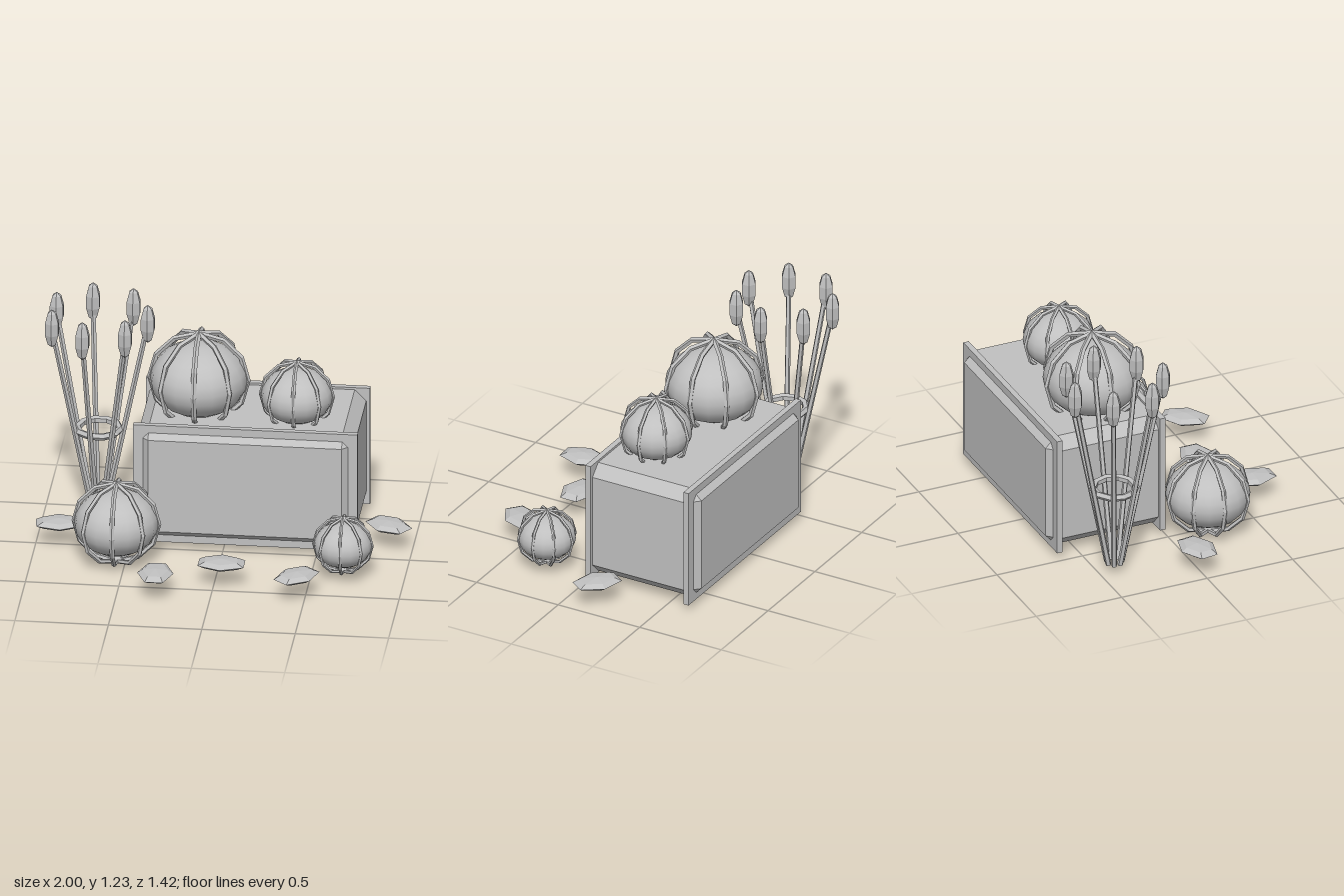
import * as THREE from 'three';
import { ConvexGeometry } from 'three/addons/geometries/ConvexGeometry.js';

const grey = new THREE.MeshStandardMaterial({ color: 0xc0c0c0 });
grey.name = 'plain grey';

// Faceted normals without needing a second material
function faceted(geometry) {
  const g = geometry.index ? geometry.toNonIndexed() : geometry;
  g.computeVertexNormals();
  return g;
}

function part(name, geometry, parent, x = 0, y = 0, z = 0) {
  const mesh = new THREE.Mesh(geometry, grey);
  mesh.name = name;
  mesh.position.set(x, y, z);
  parent.add(mesh);
  return mesh;
}

// Box with every edge cut at 45 degrees
function chamferedBox(w, h, d, c) {
  const points = [];
  for (const sx of [-1, 1]) for (const sy of [-1, 1]) for (const sz of [-1, 1]) {
    for (let axis = 0; axis < 3; axis++) {
      const inset = [c, c, c];
      inset[axis] = 0;
      points.push(new THREE.Vector3(
        sx * (w / 2 - inset[0]), sy * (h / 2 - inset[1]), sz * (d / 2 - inset[2])));
    }
  }
  return faceted(new ConvexGeometry(points));
}

// Flattened smooth ball inside four upright rings that make eight ribs
function pumpkin(name, x, y, z, outer) {
  const group = new THREE.Group();
  group.name = name;
  group.position.set(x, y, z);
  const r = outer * 0.945;
  const body = new THREE.SphereGeometry(r, 16, 12);
  body.scale(1, 0.76, 1);
  part('pumpkinBody', body, group);
  const ring = faceted(new THREE.TorusGeometry(r, outer * 0.055, 5, 12));
  for (let i = 0; i < 4; i++) {
    part('pumpkinRibs', ring, group).rotation.y = i * Math.PI / 4;
  }
  return group;
}

// Tilted straw running from point a to point b
function stalk(a, b, parent) {
  const dir = b.clone().sub(a);
  const mesh = part('stalk', faceted(new THREE.CylinderGeometry(0.014, 0.016, dir.length(), 5)), parent);
  mesh.position.copy(a).add(b).multiplyScalar(0.5);
  mesh.quaternion.setFromUnitVectors(new THREE.Vector3(0, 1, 0), dir.normalize());
}

// Seven stalks fanning out of a tie ring, each with an upright seed head
function grainSheaf() {
  const group = new THREE.Group();
  group.name = 'grainSheaf';
  group.position.set(-0.71, 0, -0.41);
  const head = new THREE.SphereGeometry(1, 6, 5);
  head.rotateY(Math.PI / 6);
  head.scale(0.043, 0.11, 0.043);
  const headGeometry = faceted(head);
  for (let i = 0; i < 7; i++) {
    const a = i / 7 * Math.PI * 2;
    const at = (r, y) => new THREE.Vector3(Math.cos(a) * r, y, Math.sin(a) * r);
    stalk(at(0.04, 0.055), at(0.255, 1.09), group);
    part('seedHead', headGeometry, group, Math.cos(a) * 0.263, 1.13, Math.sin(a) * 0.263);
  }
  const tie = new THREE.TorusGeometry(0.115, 0.02, 5, 10);
  tie.rotateX(Math.PI / 2);
  part('tieRing', faceted(tie), group, 0, 0.507, 0);
  return group;
}

export function createModel() {
  const model = new THREE.Group();
  model.name = 'harvestDisplay';

  // Bale with a band near each end
  part('bale', chamferedBox(1.16, 0.655, 0.695, 0.062), model, 0.12, 0.383, -0.323);
  for (const z of [-0.022, -0.623]) {
    part('baleBand', new THREE.BoxGeometry(1.2, 0.677, 0.032), model, 0.12, 0.384, z);
  }

  // Two pumpkins on the bale, two on the ground
  model.add(
    pumpkin('largePumpkin', -0.16, 0.882, -0.29, 0.277),
    pumpkin('topPumpkin', 0.37, 0.832, -0.24, 0.204),
    pumpkin('groundPumpkin', -0.545, 0.248, 0.212, 0.24),
    pumpkin('smallPumpkin', 0.672, 0.2, 0.258, 0.165),
    grainSheaf());

  // Scattered six-sided leaves: x, z, turn in degrees
  const leaf = new THREE.SphereGeometry(1, 6, 4);
  leaf.rotateY(Math.PI / 6);
  leaf.scale(0.142, 0.027, 0.097);
  const leafGeometry = faceted(leaf);
  const leaves = [
    [-0.875, 0, 8], [-0.295, 0.585, -88], [0.04, 0.42, 0],
    [0.455, 0.535, 50], [0.87, -0.165, -35],
  ];
  for (const [x, z, turn] of leaves) {
    part('leaf', leafGeometry, model, x, 0.133, z).rotation.y = THREE.MathUtils.degToRad(turn);
  }
  return model;
}
